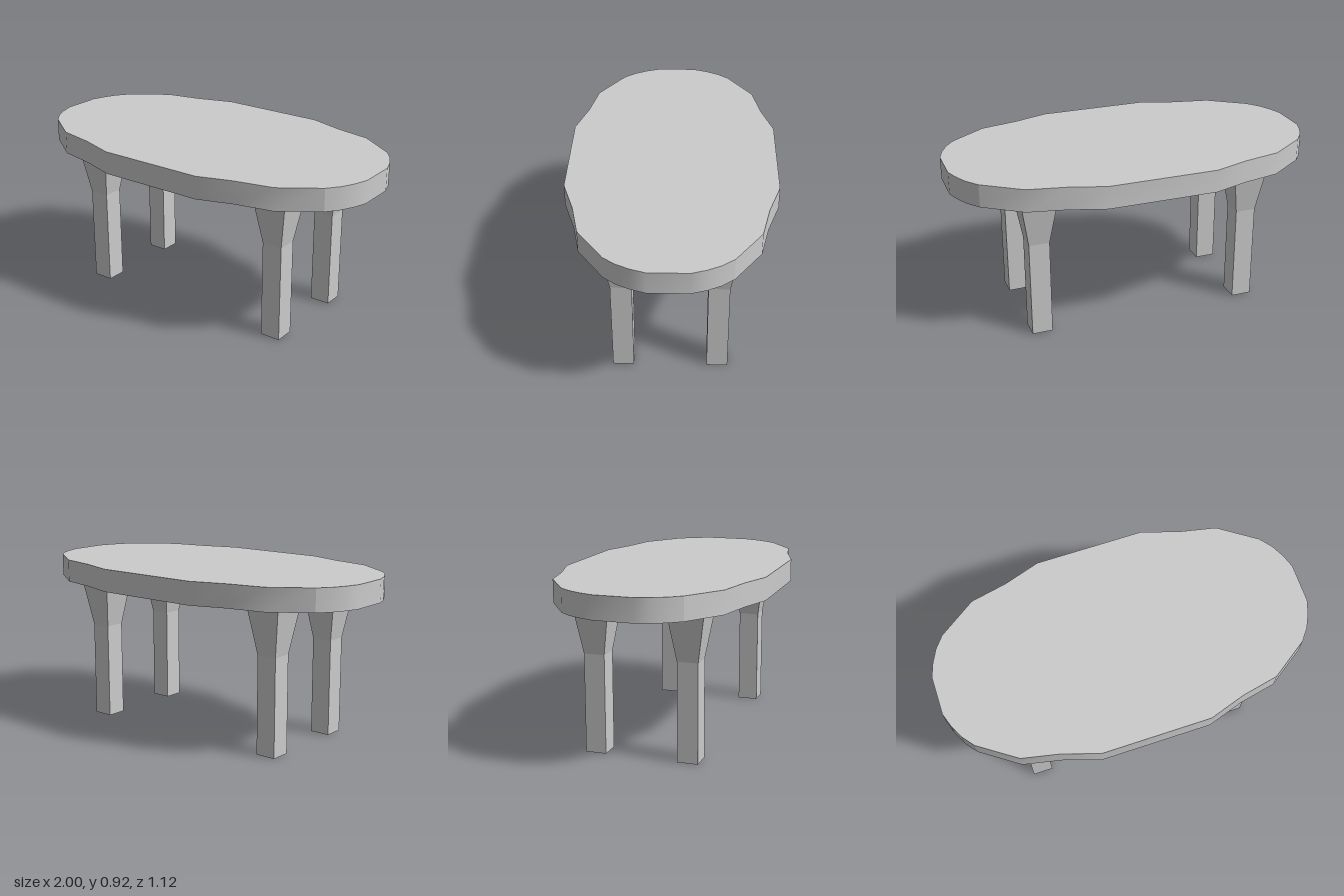
import * as THREE from 'three';
import { mergeGeometries } from 'three/addons/utils/BufferGeometryUtils.js';

const material = new THREE.MeshStandardMaterial({ color: 0xcccccc });
const BOTTOM = 0.797, TOP = 0.92, KNEE = 0.533;

// Quarter outline of the tabletop as [x, z], split into long side and rounded end
const side = [[0.295, 0.558], [0.49, 0.495], [0.69, 0.453], [0.89, 0.314]];
const end = [[0.89, 0.314], [0.94, 0.25], [0.975, 0.18], [1, 0.105]];

const frontPath = [...side.map(([x, z]) => [-x, z]).reverse(), ...side];
const rightPath = [...end, ...end.map(([x, z]) => [x, -z]).reverse()];

// Vertical wall along a path, smooth along its length
function wall(path) {
  const positions = [], uvs = [], index = [];
  path.forEach(([x, z], i) => {
    positions.push(x, BOTTOM, z, x, TOP, z);
    uvs.push(i, 0, i, 1);
    if (i > 0) {
      const b = 2 * (i - 1);
      index.push(b, b + 2, b + 3, b, b + 3, b + 1);
    }
  });
  const g = new THREE.BufferGeometry();
  g.setAttribute('position', new THREE.Float32BufferAttribute(positions, 3));
  g.setAttribute('uv', new THREE.Float32BufferAttribute(uvs, 2));
  g.setIndex(index);
  g.computeVertexNormals();
  return g;
}

function tabletopGeometry() {
  // Closed outline: front, right end, then the same turned half way round
  const half = [...frontPath, ...rightPath.slice(1, -1)];
  const outline = [...half, ...half.map(([x, z]) => [-x, -z])];
  const shape = new THREE.Shape(outline.map(([x, z]) => new THREE.Vector2(x, -z)));
  const cap = () => new THREE.ShapeGeometry(shape);
  return mergeGeometries([
    cap().rotateX(-Math.PI / 2).translate(0, TOP, 0),
    cap().rotateX(Math.PI / 2).translate(0, BOTTOM, 0),
    wall(frontPath),
    wall(rightPath),
    wall(frontPath).rotateY(Math.PI),
    wall(rightPath).rotateY(Math.PI),
  ]);
}

// Square post that flares out from the knee up to the tabletop
function legGeometry() {
  const g = new THREE.BoxGeometry(1, 2, 1, 1, 2, 1).toNonIndexed();
  const p = g.attributes.position;
  for (let i = 0; i < p.count; i++) {
    const level = Math.round(p.getY(i)) + 1;
    const width = [0.112, 0.112, 0.198][level];
    p.setXYZ(i, p.getX(i) * width, [0, KNEE, BOTTOM][level], p.getZ(i) * width);
  }
  g.computeVertexNormals();
  return g;
}

export function createModel() {
  const table = new THREE.Group();
  table.name = 'table';

  const tabletop = new THREE.Mesh(tabletopGeometry(), material);
  tabletop.name = 'tabletop';
  table.add(tabletop);

  // Four legs
  const leg = legGeometry();
  for (const [xName, x] of [['Left', 0.592], ['Right', -0.596]]) {
    for (const [zName, z] of [['front', 0.253], ['back', -0.251]]) {
      const mesh = new THREE.Mesh(leg, material);
      mesh.name = `${zName}${xName}Leg`;
      mesh.position.set(x, 0, z);
      table.add(mesh);
    }
  }
  return table;
}
